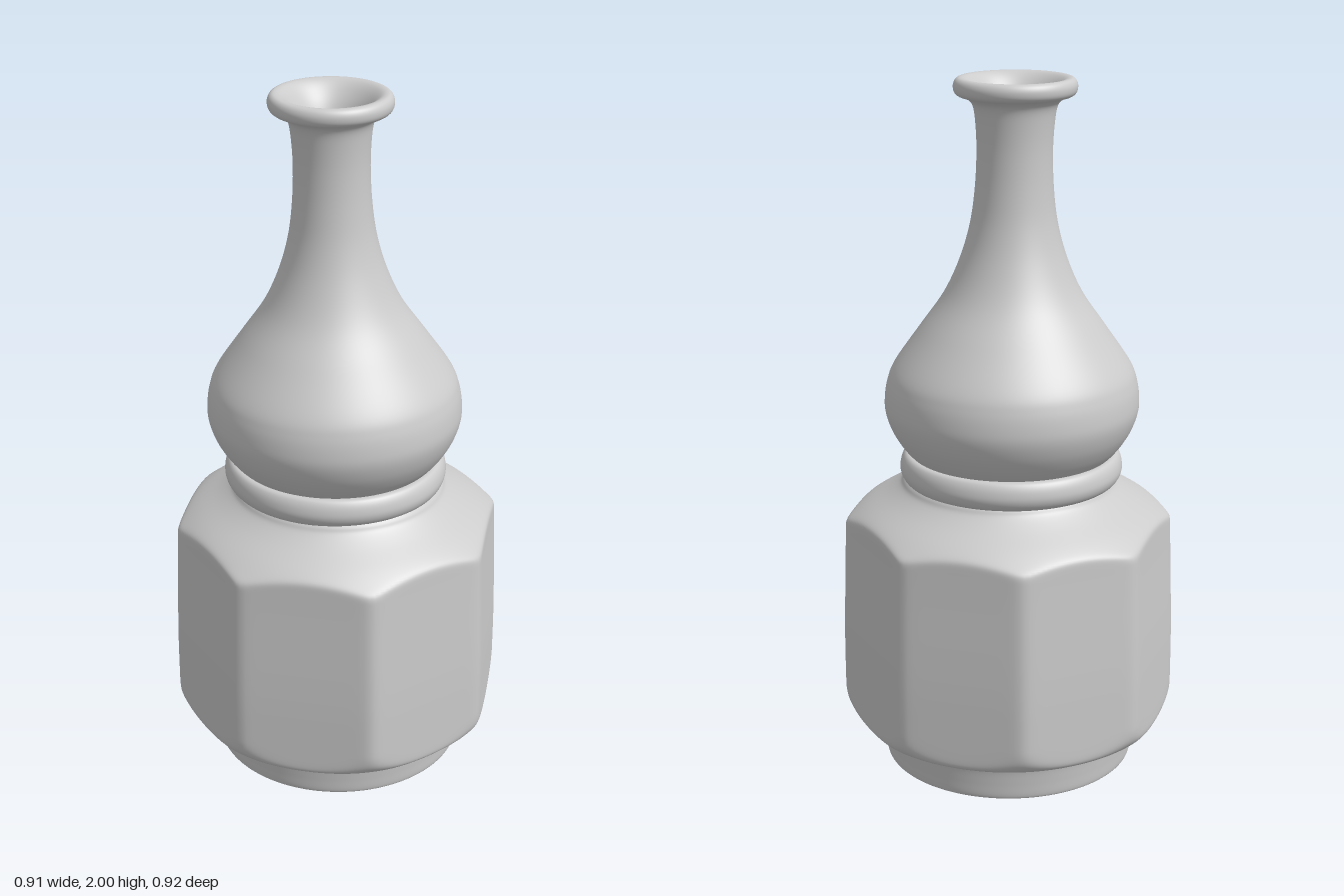
import * as THREE from 'three';
import { mergeVertices } from 'three/addons/utils/BufferGeometryUtils.js';

const V = (p) => new THREE.Vector2(p[0], p[1]);

// Smooth turned surface; move(vertex) reshapes it before the normals are made
function turned(name, profile, steps, segments, move, material) {
  const points = new THREE.SplineCurve(profile.map(V)).getPoints(steps);
  points.forEach((p) => { p.x = Math.max(p.x, 0); p.y = Math.min(Math.max(p.y, 0), 2); });
  let geo = new THREE.LatheGeometry(points, segments);
  const pos = geo.attributes.position;
  const v = new THREE.Vector3();
  for (let i = 0; i < pos.count; i++) {
    v.fromBufferAttribute(pos, i);
    move(v);
    pos.setXYZ(i, v.x, v.y, v.z);
  }
  geo.deleteAttribute('uv');
  geo.deleteAttribute('normal');
  geo = mergeVertices(geo, 1e-5);
  geo.computeVertexNormals();
  const mesh = new THREE.Mesh(geo, material);
  mesh.name = name;
  return mesh;
}

// Slightly uneven octagon (x, z corners) that cuts the body
const corners = [
  [0.455, 0.17], [0.2, 0.44], [-0.18, 0.455], [-0.455, 0.18],
  [-0.445, -0.19], [-0.19, -0.45], [0.16, -0.46], [0.43, -0.22],
];
const sides = corners.map(([ax, az], i) => {
  const [bx, bz] = corners[(i + 1) % corners.length];
  const len = Math.hypot(bx - ax, bz - az);
  const nx = (bz - az) / len, nz = (ax - bx) / len;
  return { nx, nz, d: (nx * ax + nz * az) * 1.008 };
});

// Trim the round body by the eight flat sides, softening the edges
function facet(v) {
  const r = Math.hypot(v.x, v.z);
  if (r < 0.33) return;
  const power = 70;
  const taper = 1 - 0.025 * THREE.MathUtils.smoothstep(v.y, 0.3, 0.8);
  let sum = 1;
  for (const s of sides) {
    const dot = s.nx * v.x + s.nz * v.z;
    if (dot > 0) sum += Math.pow(dot / (s.d * taper), power);
  }
  const k = Math.pow(sum, -1 / power);
  v.x *= k;
  v.z *= k;
}

// The upper part leans a little off the axis
function lean(v) {
  const t = THREE.MathUtils.clamp((v.y - 0.85) / 1.15, 0, 1);
  v.x -= 0.004 + 0.009 * t;
  v.z -= 0.008 + 0.009 * t;
}

export function createModel() {
  const group = new THREE.Group();
  const clay = new THREE.MeshStandardMaterial({ color: 0xcccccc, side: THREE.DoubleSide });

  // Recessed base, foot, faceted body and shoulder
  const body = [
    [0, 0.045], [0.15, 0.045], [0.27, 0.042], [0.305, 0.035], [0.325, 0.008], [0.34, 0],
    [0.357, 0.002], [0.364, 0.012], [0.368, 0.05], [0.373, 0.09], [0.38, 0.107], [0.405, 0.116],
    [0.43, 0.124], [0.455, 0.137], [0.475, 0.158], [0.495, 0.19], [0.53, 0.25], [0.55, 0.4],
    [0.54, 0.6], [0.51, 0.69], [0.485, 0.72], [0.45, 0.747], [0.41, 0.775], [0.35, 0.812],
    [0.315, 0.838], [0.303, 0.855], [0.29, 0.87],
  ];
  group.add(turned('body', body, 160, 192, facet, clay));

  // Raised ring between body and belly
  const collar = [
    [0.285, 0.85], [0.303, 0.858], [0.314, 0.872], [0.319, 0.89],
    [0.317, 0.91], [0.311, 0.926], [0.302, 0.936], [0.288, 0.938], [0.26, 0.935],
  ];
  group.add(turned('collar', collar, 40, 96, lean, clay));

  // Belly, neck, flared lip and the bore inside
  const neck = [
    [0.275, 0.925], [0.298, 0.945], [0.322, 0.975], [0.345, 1.015], [0.36, 1.06], [0.362, 1.1],
    [0.354, 1.15], [0.333, 1.2], [0.264, 1.3], [0.195, 1.4], [0.15, 1.5], [0.122, 1.6],
    [0.109, 1.7], [0.105, 1.8], [0.109, 1.88], [0.117, 1.925], [0.135, 1.944], [0.158, 1.952],
    [0.168, 1.963], [0.17, 1.98], [0.164, 1.994], [0.152, 2], [0.134, 1.995], [0.112, 1.975],
    [0.088, 1.94], [0.069, 1.89], [0.059, 1.83], [0.058, 1.72], [0.056, 1.6], [0.04, 1.56],
    [0, 1.55],
  ];
  group.add(turned('bellyAndNeck', neck, 180, 96, lean, clay));

  return group;
}
